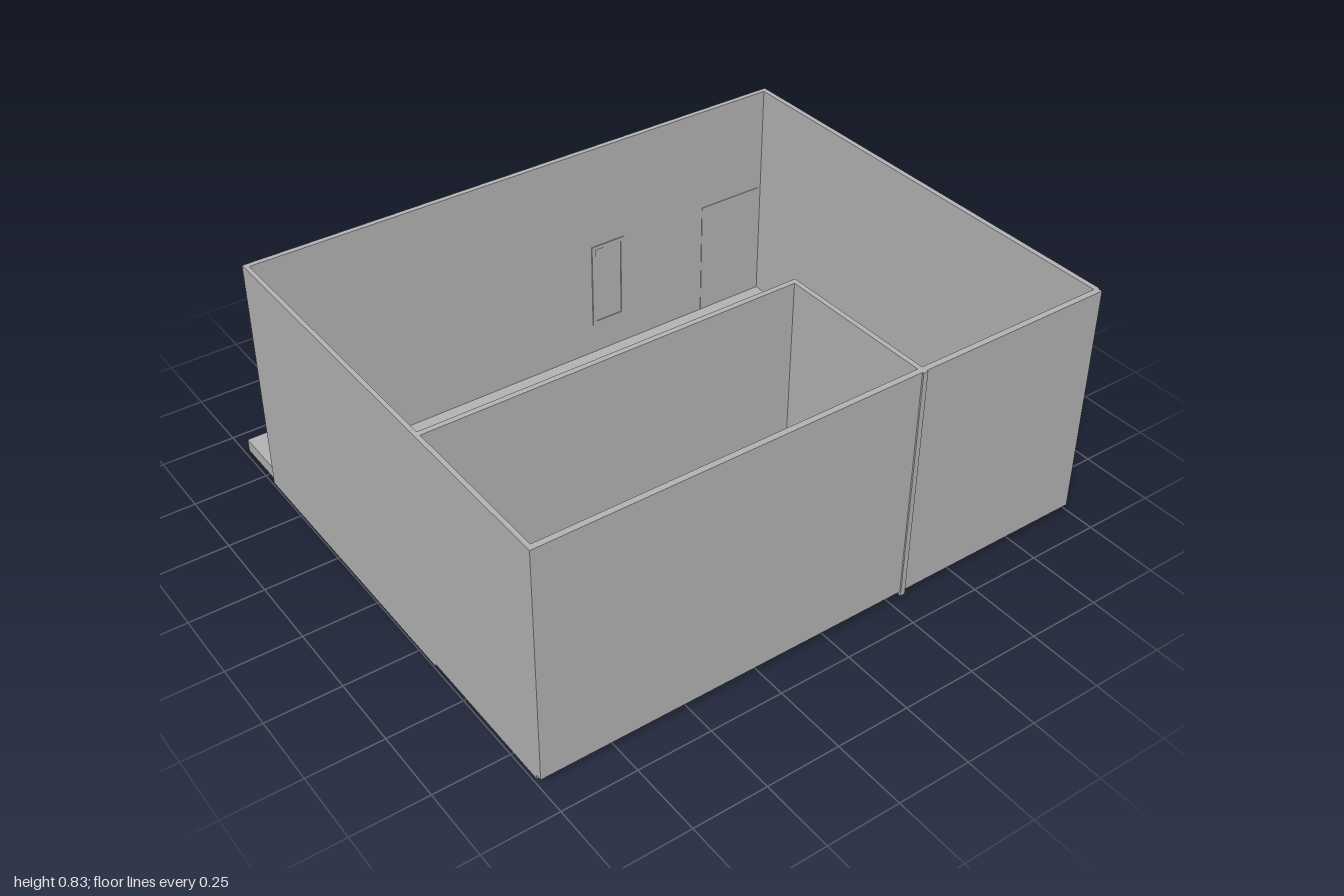
import * as THREE from 'three';

const grey = new THREE.MeshStandardMaterial({ color: 0xb2b2b2, side: THREE.DoubleSide });
grey.name = 'plain grey';

export function createModel() {
  const model = new THREE.Group();
  model.name = 'house';

  const add = (name, geometry, x = 0, y = 0, z = 0, parent = model) => {
    const mesh = new THREE.Mesh(geometry, grey);
    mesh.name = name;
    mesh.position.set(x, y, z);
    parent.add(mesh);
    return mesh;
  };
  // box given by its extents on each axis
  const box = (name, x0, x1, y0, y1, z0, z1, parent) =>
    add(name, new THREE.BoxGeometry(x1 - x0, y1 - y0, z1 - z0),
      (x0 + x1) / 2, (y0 + y1) / 2, (z0 + z1) / 2, parent);
  const lathe = (name, points, x, y, z, parent) =>
    add(name, new THREE.LatheGeometry(points.map(p => new THREE.Vector2(...p)), 32), x, y, z, parent);
  const group = (name) => {
    const g = new THREE.Group();
    g.name = name;
    model.add(g);
    return g;
  };

  // Floors and outside walkway
  box('walkway', -0.905, -0.7, 0, 0.045, -1, 0.985);
  box('mainFloorWest', -0.7, 0.335, 0.012, 0.026, -0.995, 0.98);
  box('mainFloorEast', 0.335, 0.875, 0.012, 0.026, -0.995, -0.295);
  box('bathroomFloor', 0.335, 0.875, 0.018, 0.026, -0.295, 0.645);
  box('toiletPlatform', 0.335, 0.875, 0.008, 0.045, 0.645, 0.985);
  box('frontFooting', -0.7, 0.335, 0, 0.026, 0.98, 0.995);

  // Outer walls and bathroom partitions
  const top = 0.835;
  box('leftWall', 0.875, 0.895, 0.025, top, -0.995, 0.995);
  box('rightWall', -0.7, -0.682, 0.025, top, -1, 0.995);
  box('backWall', -0.7, 0.88, 0.025, top, -1, -0.982);
  box('frontWall', -0.7, 0.895, 0.025, top, 0.98, 0.995);
  box('frontWallFoot', 0.335, 0.875, 0.01, 0.025, 0.98, 0.995);
  box('bathroomSideWall', 0.32, 0.338, 0.012, top, -0.305, 0.985);
  box('bathroomBackWall', 0.32, 0.9, 0.012, top, -0.305, -0.288);

  // Flush doors and window in the walls
  box('entranceDoor', -0.702, -0.68, 0.03, 0.455, -0.97, -0.72);
  box('bathroomDoor', 0.54, 0.77, 0.03, 0.445, -0.307, -0.286);
  const win = group('window');
  for (const z of [-0.375, -0.255]) box('windowPost', -0.704, -0.678, 0.14, 0.46, z - 0.007, z + 0.007, win);
  for (const y of [0.147, 0.453]) box('windowRail', -0.704, -0.678, y - 0.007, y + 0.007, -0.375, -0.255, win);

  // Bed
  box('bed', -0.68, -0.03, 0.01, 0.12, 0.555, 0.94);

  // Wardrobe with two pull handles and side hinges
  const wardrobe = group('wardrobe');
  box('wardrobeBody', -0.03, 0.3, 0.026, 0.485, 0.83, 0.955, wardrobe);
  for (const x of [0.12, 0.145]) {
    box('handle', x - 0.004, x + 0.004, 0.255, 0.305, 0.818, 0.824, wardrobe);
    for (const y of [0.26, 0.3]) box('handleMount', x - 0.004, x + 0.004, y - 0.004, y + 0.004, 0.82, 0.832, wardrobe);
  }

  // Kitchen table
  const table = group('kitchenTable');
  box('tableTop', 0.365, 0.73, 0.185, 0.2, -0.977, -0.775, table);
  for (const x of [0.38, 0.715])
    for (const z of [-0.962, -0.79]) add('tableLeg', new THREE.CylinderGeometry(0.009, 0.009, 0.18, 12), x, 0.098, z, table);

  // Single-burner stove
  const stove = group('stove');
  box('stoveBody', 0.527, 0.664, 0.2, 0.236, -0.966, -0.825, stove);
  box('stovePanel', 0.53, 0.661, 0.204, 0.225, -0.825, -0.815, stove);
  const ring = add('burnerRing', new THREE.TorusGeometry(0.04, 0.005, 8, 32), 0.595, 0.243, -0.902, stove);
  ring.rotation.x = Math.PI / 2;
  add('burner', new THREE.CylinderGeometry(0.012, 0.016, 0.012, 20), 0.595, 0.241, -0.902, stove);
  for (let i = 0; i < 5; i++) {
    const a = i * Math.PI * 2 / 5 + 0.3;
    const arm = add('panSupport', new THREE.BoxGeometry(0.032, 0.005, 0.004),
      0.595 + Math.cos(a) * 0.027, 0.246, -0.902 + Math.sin(a) * 0.027, stove);
    arm.rotation.y = -a;
  }
  const knob = add('stoveKnob', new THREE.CylinderGeometry(0.008, 0.008, 0.012, 16), 0.595, 0.215, -0.812, stove);
  knob.rotation.x = Math.PI / 2;

  // Gas bottle
  const bottle = group('gasBottle');
  lathe('bottleBody', [[0, 0], [0.036, 0], [0.046, 0.012], [0.046, 0.09], [0.038, 0.115],
    [0.015, 0.128], [0.012, 0.135], [0, 0.135]], 0.8, 0.026, -0.882, bottle);
  add('valve', new THREE.CylinderGeometry(0.008, 0.008, 0.025, 12), 0.8, 0.17, -0.882, bottle);

  // Waste bin, open at the top
  lathe('bin', [[0, 0], [0.036, 0], [0.048, 0.11], [0.053, 0.112], [0.053, 0.118],
    [0.04, 0.118], [0.03, 0.01], [0, 0.01]], 0.8, 0.012, -0.37);

  // Water barrel with a tap pipe to the wall
  const barrel = group('waterBarrel');
  lathe('barrelBody', [[0, 0], [0.07, 0], [0.096, 0.02], [0.1, 0.19], [0.108, 0.195], [0.108, 0.21],
    [0.09, 0.21], [0.085, 0.03], [0, 0.025]], 0.765, 0.015, 0.28, barrel);
  const tap = add('tap', new THREE.CylinderGeometry(0.005, 0.005, 0.03, 10), 0.865, 0.26, 0.28, barrel);
  tap.rotation.z = Math.PI / 2;

  // Squat toilet: rim plate with an oval opening above a bowl
  const toilet = group('squatToilet');
  const rim = new THREE.Shape();
  rim.moveTo(0.59, 0.81);
  rim.bezierCurveTo(0.59, 0.77, 0.63, 0.775, 0.655, 0.72);
  rim.quadraticCurveTo(0.73, 0.715, 0.79, 0.735);
  rim.lineTo(0.825, 0.78);
  rim.lineTo(0.825, 0.855);
  rim.lineTo(0.8, 0.902);
  rim.quadraticCurveTo(0.73, 0.905, 0.665, 0.895);
  rim.bezierCurveTo(0.63, 0.85, 0.59, 0.85, 0.59, 0.81);
  const hole = new THREE.Path();
  hole.absellipse(0.71, 0.81, 0.092, 0.053, 0, Math.PI * 2, true);
  rim.holes.push(hole);
  const rimGeometry = new THREE.ExtrudeGeometry(rim, {
    depth: 0.02, bevelEnabled: true, bevelThickness: 0.004, bevelSize: 0.004, bevelSegments: 2, curveSegments: 20 });
  rimGeometry.rotateX(Math.PI / 2);
  add('toiletRim', rimGeometry, 0, 0.07, 0, toilet);
  const bowl = new THREE.SphereGeometry(1, 32, 12, 0, Math.PI * 2, Math.PI / 2, Math.PI / 2);
  bowl.scale(0.096, 0.024, 0.057);
  add('toiletBowl', bowl, 0.71, 0.072, 0.81, toilet);
  add('drain', new THREE.CylinderGeometry(0.017, 0.017, 0.006, 20), 0.77, 0.056, 0.81, toilet);

  return model;
}
